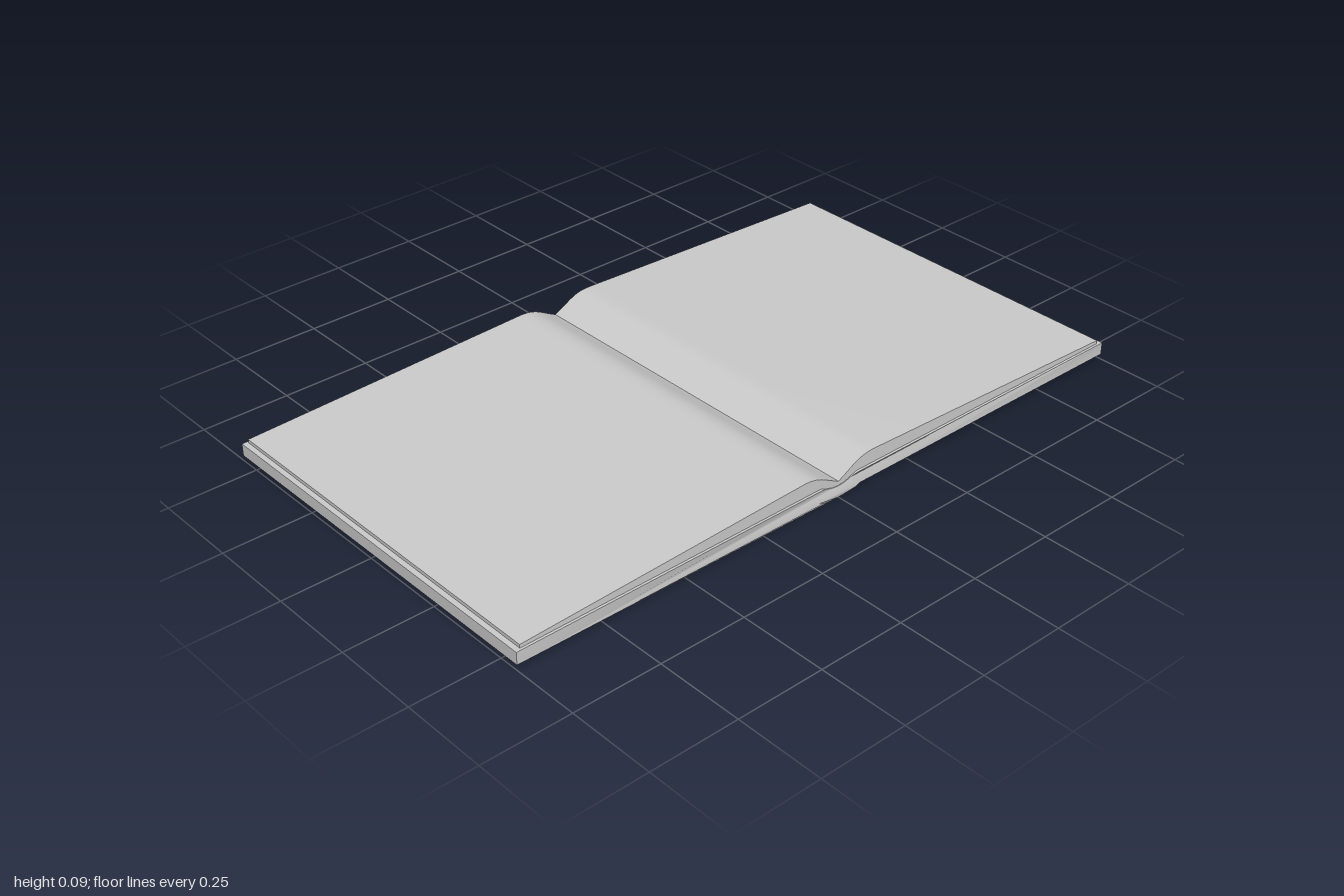
import * as THREE from 'three';
import { toCreasedNormals } from 'three/addons/utils/BufferGeometryUtils.js';

const COVER_Z = 0.558, SPINE_Z = 0.553, PAGE_Z = 0.551;

// Extrude an outline along z, centred, with smooth curves and sharp edges
function slab(shape, halfDepth, name) {
  const geo = new THREE.ExtrudeGeometry(shape, { depth: 2 * halfDepth, bevelEnabled: false, curveSegments: 10 });
  geo.translate(0, 0, -halfDepth);
  const mesh = new THREE.Mesh(geo, new THREE.MeshStandardMaterial({ color: 0xcccccc }));
  mesh.name = name;
  return mesh;
}

function finish(mesh) {
  mesh.geometry = toCreasedNormals(mesh.geometry, 0.6);
  return mesh;
}

// Both boards and the sagging spine as one piece
function makeCover() {
  const under = [[0.07, 0.015], [0.055, 0.009], [0.04, 0.004], [0.02, 0.001]];
  const over = [[0.06, 0.05], [0.04, 0.042], [0.02, 0.036]];
  const flip = (list) => list.map(([x, y]) => [-x, y]).reverse();
  const outline = [
    [-1, 0.015], ...flip(under), [0, 0], ...under.slice().reverse(), [1, 0.015],
    [1, 0.05], ...over, [0, 0.034], ...flip(over), [-1, 0.05],
  ];
  const cover = slab(new THREE.Shape(outline.map(([x, y]) => new THREE.Vector2(x, y))), COVER_Z, 'cover');

  // The spine is slightly shorter than the boards
  const pos = cover.geometry.attributes.position;
  for (let i = 0; i < pos.count; i++) {
    if (Math.abs(pos.getX(i)) < 0.045) pos.setZ(i, Math.sign(pos.getZ(i)) * SPINE_Z);
  }
  return finish(cover);
}

// Page block: thickest near the gutter, thinning to the outer edge
function makePages(side, name) {
  const s = new THREE.Shape();
  s.moveTo(0, 0.034);
  s.lineTo(side * 0.02, 0.036);
  s.lineTo(side * 0.04, 0.042);
  s.lineTo(side * 0.06, 0.05);
  s.lineTo(side * 0.985, 0.05);
  s.lineTo(side * 0.985, 0.06);
  s.lineTo(side * 0.13, 0.089);
  s.bezierCurveTo(side * 0.07, 0.093, side * 0.05, 0.07, 0, 0.046);
  return finish(slab(s, PAGE_Z, name));
}

export function createModel() {
  const book = new THREE.Group();
  book.name = 'openBook';
  book.add(makeCover(), makePages(1, 'leftPages'), makePages(-1, 'rightPages'));
  return book;
}
